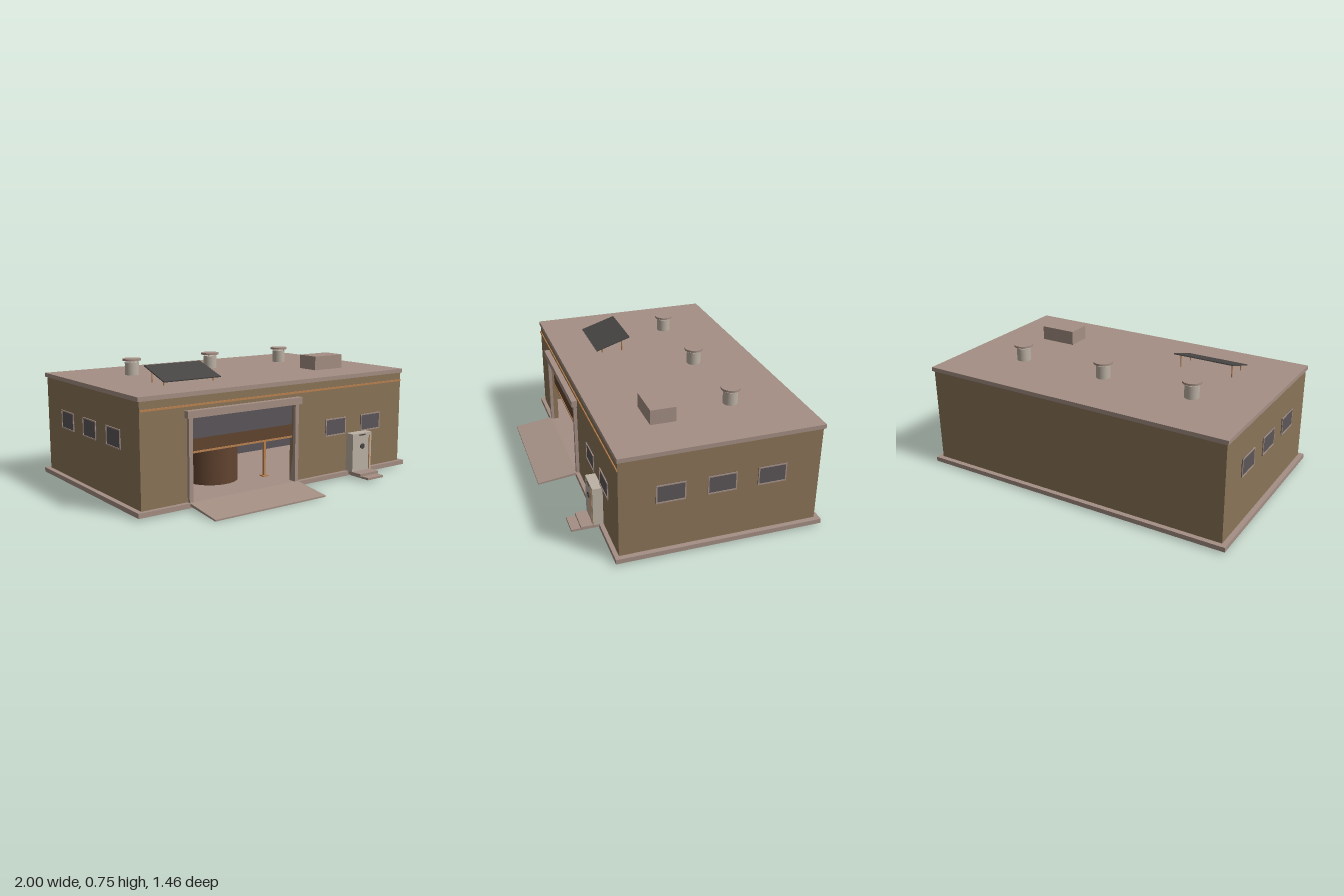
import * as THREE from 'three';

export function createModel() {
  const root = new THREE.Group();
  root.name = 'building';
  const mat = (name, color) => {
    const m = new THREE.MeshStandardMaterial({ color });
    m.name = name;
    return m;
  };
  const wall = mat('tanWall', 0x8b7458);
  const stone = mat('dustyStone', 0xa48f84);
  const glass = mat('greyGlass', 0x5b5659);
  const dark = mat('darkPanel', 0x484644);
  const metal = mat('paleMetal', 0xbcb1a4);
  const copper = mat('copperTrim', 0xb9814f);
  const brown = mat('rustBrown', 0x624430);

  const add = (name, geo, m, parent = root) => {
    const mesh = new THREE.Mesh(geo, m);
    mesh.name = name;
    parent.add(mesh);
    return mesh;
  };
  // box given by its limits on each axis
  const box = (name, m, x0, x1, y0, y1, z0, z1, parent = root) => {
    const b = add(name, new THREE.BoxGeometry(x1 - x0, y1 - y0, z1 - z0), m, parent);
    b.position.set((x0 + x1) / 2, (y0 + y1) / 2, (z0 + z1) / 2);
    return b;
  };
  const cyl = (name, m, r, y0, y1, x, z, parent = root, seg = 32) => {
    const c = add(name, new THREE.CylinderGeometry(r, r, y1 - y0, seg), m, parent);
    c.position.set(x, (y0 + y1) / 2, z);
    return c;
  };

  // shell: plinth, walls and roof
  box('plinth', stone, -1, 1, 0.012, 0.04, -0.73, 0.49);
  box('backWall', wall, -0.97, 0.97, 0.04, 0.625, -0.7, -0.67);
  for (const s of [-1, 1]) {
    box('sideWall', wall, s * 0.955 - 0.015, s * 0.955 + 0.015, 0.04, 0.625, -0.67, 0.435);
  }
  const front = new THREE.Shape([
    [-0.97, 0.04], [-0.655, 0.04], [-0.655, 0.51], [0.065, 0.51],
    [0.065, 0.04], [0.97, 0.04], [0.97, 0.625], [-0.97, 0.625],
  ].map(([x, y]) => new THREE.Vector2(x, y)));
  add('frontWall', new THREE.ExtrudeGeometry(front, { depth: 0.03, bevelEnabled: false }), wall)
    .position.z = 0.435;
  box('roof', stone, -0.98, 0.98, 0.625, 0.65, -0.71, 0.47);
  box('wallStripe', copper, -0.97, 0.97, 0.57, 0.581, 0.465, 0.471);

  // garage opening: frame, shutter and ramp
  box('leftJamb', stone, 0.065, 0.09, 0.04, 0.51, 0.435, 0.485);
  box('rightJamb', stone, -0.68, -0.655, 0.04, 0.51, 0.435, 0.485);
  box('lintel', stone, -0.695, 0.105, 0.51, 0.55, 0.435, 0.5);
  box('shutter', glass, -0.655, 0.065, 0.385, 0.51, 0.442, 0.45);
  box('shutterLowerBand', brown, -0.655, 0.065, 0.315, 0.385, 0.442, 0.45);
  box('shutterEdge', copper, -0.655, 0.065, 0.305, 0.316, 0.44, 0.454);
  const ramp = new THREE.Shape([
    [0.485, 0.025], [0.73, 0], [0.73, 0.009], [0.485, 0.041],
  ].map(([z, y]) => new THREE.Vector2(-z, y)));
  const rampMesh = add('ramp',
    new THREE.ExtrudeGeometry(ramp, { depth: 0.77, bevelEnabled: false }), stone);
  rampMesh.rotation.y = Math.PI / 2;
  rampMesh.position.x = -0.68;

  // interior: partition, tank and posts
  box('partition', glass, -0.94, 0.94, 0.04, 0.625, -0.31, -0.3);
  cyl('tank', brown, 0.165, 0.04, 0.36, -0.295, 0.12, root, 48);
  for (const x of [-0.585, 0]) {
    box('post', copper, x - 0.007, x + 0.007, 0.04, 0.5, 0.263, 0.277);
    box('postFoot', copper, x - 0.02, x + 0.02, 0.04, 0.047, 0.25, 0.29);
  }

  // windows, built facing +z and turned onto each wall
  const addWindow = (x, y, z, turn, w, h) => {
    const g = new THREE.Group();
    g.name = 'window';
    const t = 0.007;
    box('pane', glass, -w / 2, w / 2, -h / 2, h / 2, 0, 0.003, g);
    for (const s of [-1, 1]) {
      const cx = s * (w - t) / 2, cy = s * (h - t) / 2;
      box('sideFrame', stone, cx - t / 2, cx + t / 2, -h / 2, h / 2, 0, 0.007, g);
      box('crossFrame', stone, -w / 2, w / 2, cy - t / 2, cy + t / 2, 0, 0.007, g);
    }
    g.position.set(x, y, z);
    g.rotation.y = turn;
    root.add(g);
  };
  for (const x of [0.403, 0.7]) addWindow(x, 0.333, 0.465, 0, 0.168, 0.108);
  for (const s of [-1, 1]) {
    for (const z of [0.175, -0.117, -0.41]) {
      addWindow(s * 0.97, 0.39, z, s * Math.PI / 2, 0.168, 0.112);
    }
  }

  // entrance door with steps
  box('doorBlock', metal, 0.5, 0.66, 0.04, 0.28, 0.465, 0.525);
  const port = cyl('doorPort', dark, 0.017, -0.004, 0.004, 0.58, 0.527, root, 24);
  port.rotation.x = Math.PI / 2;
  port.position.y = 0.197;
  box('doorVent', dark, 0.555, 0.605, 0.266, 0.273, 0.525, 0.529);
  box('doorStripe', copper, 0.637, 0.643, 0.045, 0.262, 0.525, 0.529);
  box('upperStep', stone, 0.503, 0.657, 0.022, 0.04, 0.47, 0.595);
  box('lowerStep', stone, 0.515, 0.645, 0.012, 0.025, 0.48, 0.65);

  // roof vents
  for (const x of [-0.58, 0, 0.58]) {
    const g = new THREE.Group();
    g.name = 'roofVent';
    g.position.set(x, 0.65, -0.315);
    root.add(g);
    cyl('ventPipe', metal, 0.043, 0, 0.079, 0, 0, g);
    cyl('ventCap', stone, 0.057, 0.088, 0.1, 0, 0, g);
    for (let i = 0; i < 4; i++) {
      const a = Math.PI / 4 + i * Math.PI / 2;
      cyl('capStrut', metal, 0.004, 0.07, 0.09, Math.cos(a) * 0.036, Math.sin(a) * 0.036, g, 8);
    }
  }

  // roof unit and tilted solar panel
  box('roofUnit', stone, 0.465, 0.695, 0.65, 0.738, 0.05, 0.2);
  const tilt = Math.atan2(0.07, 0.22);
  const panel = add('solarPanel', new THREE.BoxGeometry(0.385, 0.006, 0.231), dark);
  panel.position.set(-0.4875, 0.71, 0.123);
  panel.rotation.x = tilt;
  for (const x of [-0.655, -0.32]) {
    cyl('panelFrontLeg', copper, 0.004, 0.65, 0.688, x, 0.19, root, 8);
    cyl('panelBackLeg', copper, 0.004, 0.65, 0.73, x, 0.06, root, 8);
  }
  return root;
}
